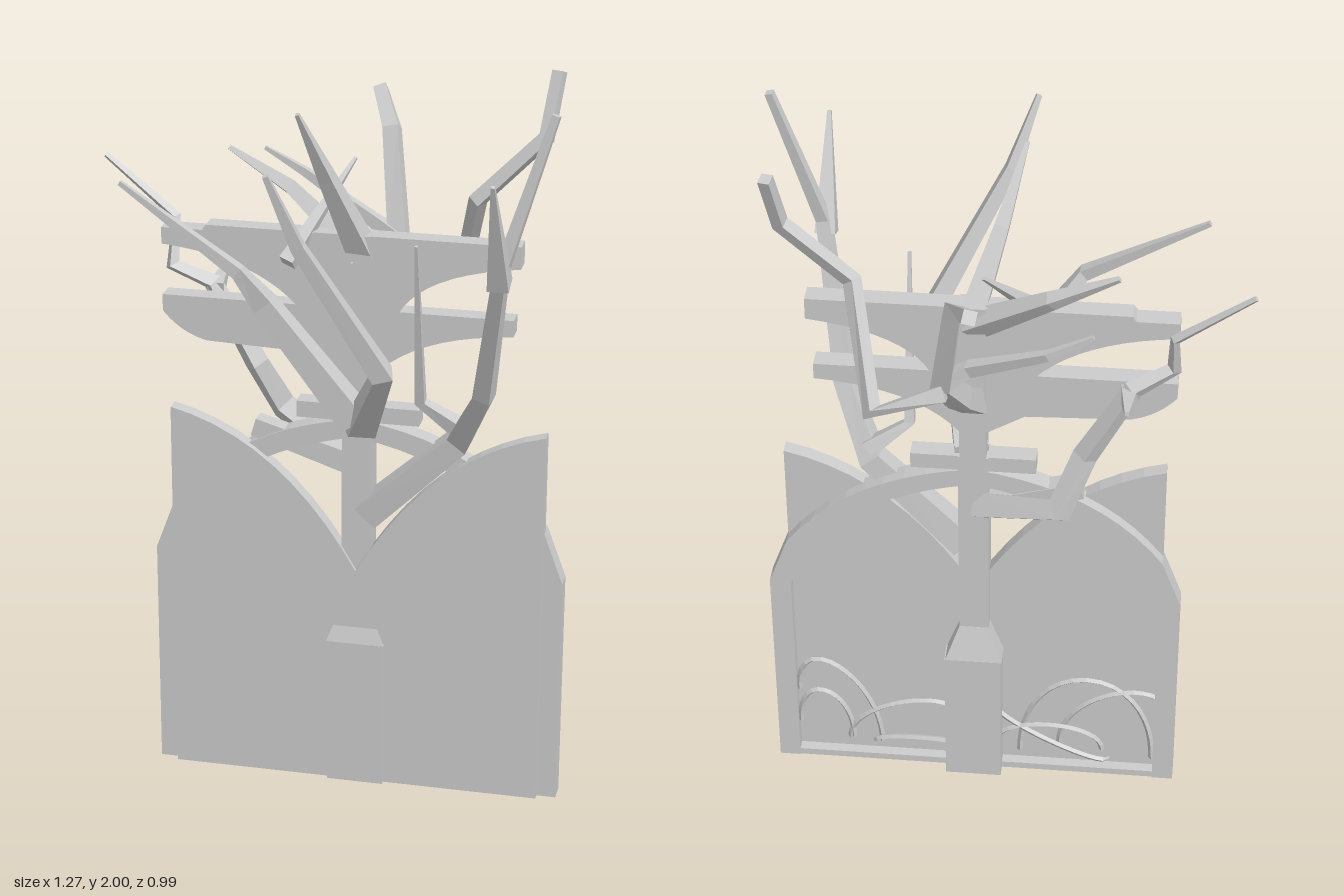
import * as THREE from 'three';

const CX = 0.075; // x of the trunk axis
const mat = new THREE.MeshStandardMaterial({ color: 0xcccccc, flatShading: true, side: THREE.DoubleSide });
const vec = (x, y, z) => new THREE.Vector3(x, y, z);

// tapering four-sided limb along a bent path, from width w0 to width w1
function limbGeometry(w0, w1, pts) {
  const last = pts.length - 1;
  const pos = [], index = [];
  let side = vec(1, 0, 0.01);
  pts.forEach((p, i) => {
    const t = pts[Math.min(i + 1, last)].clone().sub(pts[Math.max(i - 1, 0)]).normalize();
    side.addScaledVector(t, -side.dot(t));
    if (side.length() < 0.2) side = vec(0, 0, 1).addScaledVector(t, -t.z);
    side.normalize();
    const up = t.clone().cross(side);
    const r = THREE.MathUtils.lerp(w0, w1, i / last) / 2;
    for (let k = 0; k < 4; k++) {
      const a = k === 0 || k === 3 ? r : -r, b = k < 2 ? r : -r;
      pos.push(...p.clone().addScaledVector(side, a).addScaledVector(up, b));
      if (i) {
        const lo = (i - 1) * 4 + k, next = (i - 1) * 4 + (k + 1) % 4;
        index.push(lo, next, next + 4, lo, next + 4, lo + 4);
      }
    }
  });
  const e = last * 4;
  index.push(2, 1, 0, 3, 2, 0, e, e + 1, e + 2, e, e + 2, e + 3);
  const indexed = new THREE.BufferGeometry();
  indexed.setAttribute('position', new THREE.Float32BufferAttribute(pos, 3));
  indexed.setIndex(index);
  const g = indexed.toNonIndexed();
  g.computeVertexNormals();
  return g;
}

export function createModel() {
  const group = new THREE.Group();
  const add = (name, geo) => {
    const m = new THREE.Mesh(geo, mat);
    m.name = name;
    group.add(m);
    return m;
  };
  // box given by its limits
  const box = (name, x0, x1, y0, y1, z0, z1) =>
    add(name, new THREE.BoxGeometry(x1 - x0, y1 - y0, z1 - z0))
      .position.set((x0 + x1) / 2, (y0 + y1) / 2, (z0 + z1) / 2);
  // flat outline extruded from z0 to z1
  const plate = (name, shape, z0, z1) =>
    add(name, new THREE.ExtrudeGeometry(shape, { depth: z1 - z0, bevelEnabled: false, curveSegments: 10 })
      .translate(0, 0, z0));
  const limb = (name, w0, w1, ...pts) => add(name, limbGeometry(w0, w1, pts));

  // front panel with two scalloped shoulders
  const panel = new THREE.Shape();
  panel.moveTo(CX - 0.505, 0);
  panel.lineTo(CX + 0.505, 0);
  panel.lineTo(CX + 0.505, 1.06);
  panel.quadraticCurveTo(CX + 0.2, 0.99, CX, 0.63);
  panel.quadraticCurveTo(CX - 0.2, 0.99, CX - 0.505, 1.06);
  plate('panel', panel, -0.035, 0.007);

  // arched ribs behind the panel, mirrored about the trunk
  for (const s of [1, -1]) {
    const rib = new THREE.Shape();
    rib.moveTo(CX + s * 0.557, 0);
    rib.lineTo(CX + s * 0.557, 0.64);
    rib.lineTo(CX + s * 0.505, 0.78);
    rib.quadraticCurveTo(CX + s * 0.33, 1.02, CX, 1.06);
    rib.lineTo(CX, 1.01);
    rib.quadraticCurveTo(CX + s * 0.3, 0.96, CX + s * 0.455, 0.76);
    rib.lineTo(CX + s * 0.5, 0.63);
    rib.lineTo(CX + s * 0.5, 0);
    plate(s > 0 ? 'leftRib' : 'rightRib', rib, -0.068, -0.012);
  }
  box('bottomRail', CX - 0.53, CX + 0.53, 0, 0.02, -0.065, -0.02);

  // trunk with a broader base
  box('trunk', CX - 0.04, CX + 0.04, 0.4, 1.1, -0.07, -0.004);
  box('upperTrunk', CX - 0.035, CX + 0.035, 1.1, 1.57, -0.07, -0.005);
  box('trunkBase', 0, 0.155, 0, 0.42, -0.1, 0.02);
  const neck = new THREE.CylinderGeometry(0.04 * Math.SQRT2, 0.0775 * Math.SQRT2, 0.1, 4, 1);
  neck.rotateY(Math.PI / 4).scale(1, 1, 0.77);
  add('trunkNeck', neck).position.set(CX, 0.47, -0.04);

  // crossbeams with curved undersides
  const upper = new THREE.Shape();
  upper.moveTo(-0.33, 1.57);
  upper.lineTo(-0.34, 1.555);
  upper.lineTo(-0.45, 1.555);
  upper.lineTo(-0.45, 1.51);
  upper.quadraticCurveTo(-0.2, 1.49, -0.08, 1.36);
  upper.lineTo(0.18, 1.36);
  upper.quadraticCurveTo(0.24, 1.48, 0.5, 1.51);
  upper.lineTo(0.5, 1.57);
  plate('upperBeam', upper, -0.065, -0.01);
  const lower = new THREE.Shape();
  lower.moveTo(-0.45, 1.37);
  lower.lineTo(-0.45, 1.325);
  lower.quadraticCurveTo(-0.4, 1.265, -0.33, 1.25);
  lower.lineTo(-0.06, 1.24);
  lower.lineTo(0.04, 1.18);
  lower.lineTo(0.11, 1.18);
  lower.quadraticCurveTo(0.22, 1.31, 0.485, 1.325);
  lower.lineTo(0.485, 1.37);
  plate('lowerBeam', lower, -0.065, -0.01);
  box('smallBeam', -0.09, 0.24, 1.055, 1.1, -0.065, -0.012);

  // branches at the front
  limb('frontBranch', 0.09, 0.014, vec(0.08, 1.08, -0.04), vec(0.125, 1.12, 0.16),
    vec(0.21, 1.32, 0.32), vec(0.02, 1.68, 0.43), vec(-0.045, 1.87, 0.485));
  limb('frontRightBranch', 0.075, 0.012, vec(0.11, 1.13, 0.16), vec(-0.13, 1.43, 0.165),
    vec(-0.19, 1.52, 0.195), vec(-0.51, 1.72, 0.15));
  limb('topBranch', 0.065, 0.01, vec(0.08, 1.52, -0.04), vec(0.01, 1.74, 0.06), vec(-0.045, 1.93, 0.155));

  // long left branch with its fork and spike
  limb('leftBranch', 0.075, 0.02, vec(0.1, 0.79, -0.03), vec(0.35, 1.03, 0),
    vec(0.43, 1.2, 0.1), vec(0.495, 1.6, 0.26), vec(0.615, 1.99, 0.23));
  limb('leftFork', 0.055, 0.01, vec(0.49, 1.56, 0.26), vec(0.49, 1.85, 0.39));
  limb('leftSpike', 0.045, 0.008, vec(0.36, 1.06, 0), vec(0.25, 1.14, 0.02), vec(0.255, 1.6, 0.13));

  // back branch and its two arms
  limb('backBranch', 0.065, 0.035, vec(0.07, 1.27, -0.05), vec(0.095, 1.36, -0.16), vec(0.13, 1.48, -0.27),
    vec(0.09, 1.76, -0.36), vec(0.035, 1.83, -0.48));
  limb('backLeftArm', 0.042, 0.03, vec(0.12, 1.47, -0.29), vec(0.3, 1.41, -0.31),
    vec(0.37, 1.66, -0.1), vec(0.54, 1.83, -0.12), vec(0.56, 1.99, -0.175));
  limb('backRightArm', 0.045, 0.01, vec(0.13, 1.48, -0.27), vec(0.06, 1.53, -0.27),
    vec(-0.14, 1.63, -0.335), vec(-0.25, 1.69, -0.335));

  // right branches, with brace, thorn and twigs
  limb('rightBranch', 0.065, 0.012, vec(0.06, 0.93, -0.05), vec(-0.16, 1.02, -0.165), vec(-0.22, 1.16, -0.11),
    vec(-0.34, 1.38, -0.11), vec(-0.44, 1.43, -0.08), vec(-0.44, 1.55, -0.125), vec(-0.635, 1.7, -0.145));
  limb('rightBrace', 0.06, 0.05, vec(0.06, 0.93, -0.04), vec(-0.21, 1.01, -0.045));
  limb('rightThorn', 0.045, 0.012, vec(-0.33, 1.36, -0.1), vec(-0.33, 1.39, -0.23));
  limb('upperRightBranch', 0.06, 0.012, vec(0.08, 1.5, -0.04), vec(-0.13, 1.65, -0.13), vec(-0.3, 1.74, -0.152));
  limb('crossTwig', 0.04, 0.008, vec(-0.1, 1.5, 0.04), vec(0.035, 1.73, -0.165));

  // thin roots arching over the back near the floor
  const root = (x0, y0, x1, y1, rise) => {
    const curve = new THREE.CubicBezierCurve3(vec(x0, y0, -0.05),
      vec(x0, y0 + rise, -0.065), vec(x1, y1 + rise, -0.065), vec(x1, y1, -0.05));
    add('root', new THREE.TubeGeometry(curve, 20, 0.008, 4));
  };
  root(0.57, 0.24, 0.34, 0.06, 0.25);
  root(0.57, 0.12, 0.42, 0.07, 0.2);
  root(0.43, 0.07, 0.12, 0.16, 0.14);
  root(0.36, 0.06, 0.12, 0.06, 0.04);
  root(0.02, 0.08, -0.28, 0.08, 0.12);
  root(-0.05, 0.06, -0.42, 0.06, 0.38);
  root(-0.16, 0.1, -0.47, 0.2, 0.2);
  root(0.02, 0.22, -0.3, 0.05, -0.04);
  return group;
}
